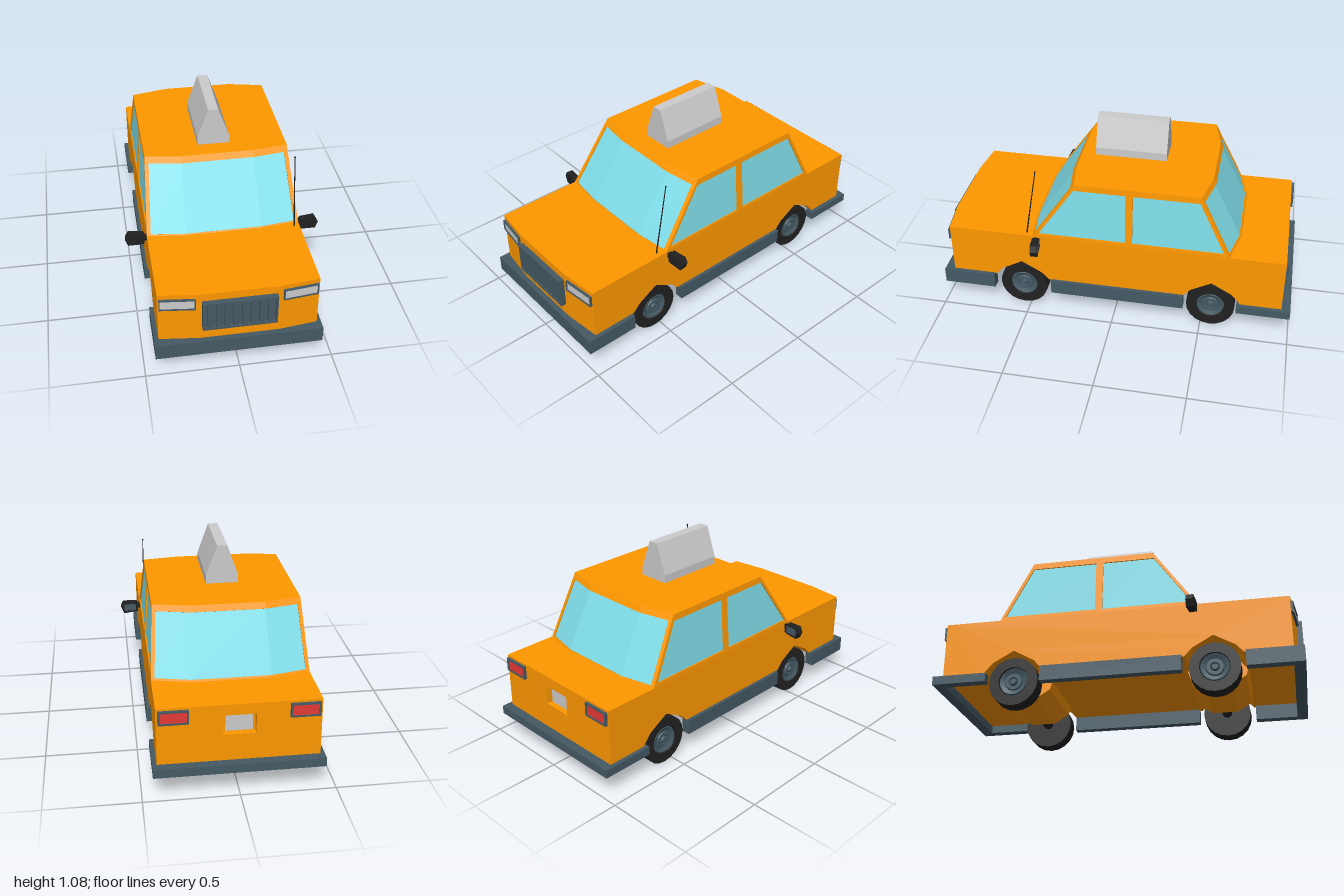
import * as THREE from 'three';

const mat = (color) => new THREE.MeshStandardMaterial({ color, flatShading: true });
const PAINT = mat(0xff9800), TRIM = mat(0x455a64), GLASS = mat(0x80deea);
const RUBBER = mat(0x212121), GREY = mat(0xcccccc), RED = mat(0xe53935);
const V = (x, y, z) => new THREE.Vector3(x, y, z);

export function createModel() {
  const car = new THREE.Group();
  car.name = 'taxi';

  function add(name, geometry, material, x = 0, y = 0, z = 0, parent = car) {
    const m = new THREE.Mesh(geometry, material);
    m.name = name;
    m.position.set(x, y, z);
    parent.add(m);
    return m;
  }
  // box given by its min and max on each axis
  const block = (name, material, x0, x1, y0, y1, z0, z1, parent) =>
    add(name, new THREE.BoxGeometry(x1 - x0, y1 - y0, z1 - z0), material,
      (x0 + x1) / 2, (y0 + y1) / 2, (z0 + z1) / 2, parent);
  const polygon = (pts) => new THREE.Shape(pts.map(([x, y]) => new THREE.Vector2(x, y)));
  const extrude = (shape, depth, steps = 1) =>
    new THREE.ExtrudeGeometry(shape, { depth, steps, bevelEnabled: false });
  // side profile of (z, y) points, extruded across the car
  const across = (pts, half, steps) =>
    extrude(polygon(pts), half * 2, steps).translate(0, 0, -half).rotateY(-Math.PI / 2);
  const rect = (w, h, y = 0) => [[-w / 2, y - h / 2], [w / 2, y - h / 2], [w / 2, y + h / 2], [-w / 2, y + h / 2]];
  // rectangular frame with a rectangular opening, extruded along +z
  function frame(w, h, holeW, holeH, depth, holeY = 0) {
    const s = polygon(rect(w, h));
    s.holes.push(polygon(rect(holeW, holeH, holeY)));
    return extrude(s, depth);
  }
  // flat-faced surface from corner quads, counter-clockwise from outside
  function surface(quads) {
    const p = quads.flatMap(([a, b, c, d]) => [a, b, c, a, c, d]);
    const g = new THREE.BufferGeometry().setFromPoints(p);
    g.computeVertexNormals();
    return g;
  }

  // Lower body: side profile with wheel arches, front face bowed outwards
  const FRONT_AXLE = .535, REAR_AXLE = -.553;
  const shift = (pts, c) => pts.map(([z, y]) => [c + z, y]);
  const arch = [[-.155, .2], [-.115, .245], [0, .31], [.115, .245], [.155, .2]];
  const profile = [[-.915, .18], [-.72, .18], ...shift(arch, REAR_AXLE), ...shift(arch, FRONT_AXLE),
    [.945, .2], [.945, .5], [-.915, .5]];
  const body = across(profile, .42, 4);
  const pos = body.attributes.position;
  for (let i = 0; i < pos.count; i++)
    if (pos.getZ(i) > .9 && Math.abs(pos.getX(i)) < .3) pos.setZ(i, .97);
  body.computeVertexNormals();
  add('lowerBody', body, PAINT);

  // Axle casings between the wheels, closing the arches on the inside
  const casing = [[-.165, .2], [-.15, .155], [-.07, .105], [.07, .105], [.15, .155], [.165, .2], [.1, .32], [-.1, .32]];
  for (const z of [FRONT_AXLE, REAR_AXLE]) add('axleCasing', across(shift(casing, z), .21, 1), PAINT);

  // Rear panel with the plate recess
  add('rearPanel', frame(.84, .32, .17, .11, .035, .045), PAINT, 0, .34, -.95);
  block('rearPlate', GREY, -.07, .07, .338, .43, -.925, -.91);

  // Cabin: framed window panels with recessed glass
  const xs = [-1, -.5, .5, 1];
  const row = (half, y, zSide, zMid) => xs.map((s) => V(s * half, y, Math.abs(s) === 1 ? zSide : zMid));
  const frontLow = row(.42, .5, .46, .487), frontTop = row(.395, .855, .217, .245);
  const rearLow = row(.42, .5, -.642, -.69), rearTop = row(.395, .855, -.47, -.515);

  function windowPanel(name, low, top, t0, t1, edge) {
    const n = low.length;
    const level = (t) => {
      const r = low.map((p, i) => p.clone().lerp(top[i], t));
      const dir = r[1].clone().sub(r[0]).setLength(edge);
      const dir2 = r[n - 2].clone().sub(r[n - 1]).setLength(edge);
      r[0].add(dir);
      r[n - 1].add(dir2);
      return r;
    };
    const a = level(t0), b = level(t1);
    const inward = low[n - 1].clone().sub(low[0]).cross(top[0].clone().sub(low[0])).setLength(-.007);
    const sink = (r) => r.map((p) => p.clone().add(inward));
    const ring = (l, t) => [...l, ...[...t].reverse()];
    const outer = ring(low, top), inner = ring(a, b), deep = ring(sink(a), sink(b));
    const band = (r, s) => r.map((p, i) => {
      const j = (i + 1) % r.length;
      return [p, r[j], s[j], s[i]];
    });
    add(name + 'Frame', surface([...band(outer, inner), ...band(inner, deep)]), PAINT);
    const gl = sink(a), gt = sink(b);
    add(name + 'Glass', surface(gl.slice(1).map((p, i) => [gl[i], p, gt[i + 1], gt[i]])), GLASS);
  }
  windowPanel('windscreen', frontLow, frontTop, .02, .91, .022);
  windowPanel('rearWindow', [...rearLow].reverse(), [...rearTop].reverse(), .03, .91, .02);
  for (const s of [1, -1]) {
    const side = s > 0 ? 'left' : 'right';
    const k = s > 0 ? 3 : 0;
    const midLow = V(s * .42, .5, -.085), midTop = V(s * .395, .855, -.085);
    const order = (r) => (s > 0 ? r : r.reverse());
    windowPanel(side + 'FrontWindow', order([frontLow[k], midLow]), order([frontTop[k], midTop]), .056, .9, .02);
    windowPanel(side + 'RearWindow', order([midLow, rearLow[k]]), order([midTop, rearTop[k]]), .056, .9, .02);
  }
  add('roof', surface([0, 1, 2].map((i) => [frontTop[i], frontTop[i + 1], rearTop[i + 1], rearTop[i]])), PAINT);

  // Bumpers wrapping round the corners, and sills, hanging below the floor
  block('frontBumper', TRIM, -.443, .443, .115, .203, .94, 1);
  block('rearBumper', TRIM, -.443, .443, .135, .183, -1, -.94);
  for (const s of [1, -1]) {
    const strip = (name, outer, y0, y1, z0, z1) =>
      block(name, TRIM, s > 0 ? .39 : -outer, s > 0 ? outer : -.39, y0, y1, z0, z1);
    strip('frontBumperSide', .443, .115, .203, .70, .94);
    strip('rearBumperSide', .443, .135, .183, -.94, -.70);
    strip('sill', .438, .118, .203, -.4, .365);
  }

  // Grille with vertical slats
  add('grilleFrame', frame(.39, .175, .37, .155, .035), TRIM, 0, .367, .965);
  block('grilleBack', TRIM, -.19, .19, .285, .45, .96, .98);
  for (let i = 0; i < 8; i++) {
    const x = -.1575 + i * .045;
    block('grilleSlat', TRIM, x - .013, x + .013, .287, .447, .975, .995);
  }

  // Head and tail lamps
  for (const s of [1, -1]) {
    const head = new THREE.Group();
    head.name = 'headlamp';
    head.position.set(s * .318, .442, .946);
    head.rotation.y = s * .115;
    add('headlampFrame', frame(.187, .064, .176, .054, .025), TRIM, 0, 0, 0, head);
    block('headlampLens', GREY, -.089, .089, -.028, .028, -.005, .018, head);
    car.add(head);
    add('tailLampFrame', frame(.155, .076, .135, .058, .016), TRIM, s * .333, .45, -.965);
    block('tailLampLens', RED, s * .333 - .068, s * .333 + .068, .42, .48, -.96, -.945);
  }

  // Wheels with dished hubs and axle stubs
  const lathe = (pts, sides) => new THREE.LatheGeometry(pts.map(([r, x]) => new THREE.Vector2(r, x)), sides)
    .rotateZ(-Math.PI / 2);
  const tyre = lathe([[0, -.045], [.137, -.045], [.137, .045], [.082, .045], [.078, .03]], 20);
  const hub = lathe([[.08, .034], [.074, .043], [.05, .032], [.045, .04], [.026, .04], [.022, .032], [.016, .046], [0, .046]], 20);
  const axle = new THREE.CylinderGeometry(.028, .028, .12, 10).rotateZ(Math.PI / 2);
  for (const s of [1, -1]) for (const z of [FRONT_AXLE, REAR_AXLE]) {
    const wheel = new THREE.Group();
    wheel.name = (z > 0 ? 'front' : 'rear') + 'Wheel';
    wheel.position.set(s * .36, .137, z);
    wheel.rotation.y = s > 0 ? 0 : Math.PI;
    add('tyre', tyre, RUBBER, 0, 0, 0, wheel);
    add('hub', hub, TRIM, 0, 0, 0, wheel);
    add('axle', axle, RUBBER, -.1, 0, 0, wheel);
    car.add(wheel);
  }

  // Door mirrors
  const housing = [[0, .447], [.012, .443], [.088, .436], [.104, .475], [.088, .507], [.008, .503], [0, .497]];
  for (const s of [1, -1]) {
    const mirror = new THREE.Group();
    mirror.name = 'doorMirror';
    mirror.position.set(s * .433, 0, .437);
    mirror.rotation.y = s > 0 ? .1 : Math.PI - .1;
    const shell = extrude(polygon(housing), .04).translate(0, 0, -.02);
    add('mirrorHousing', shell, RUBBER, 0, 0, 0, mirror);
    block('mirrorStalk', RUBBER, -.03, .01, .462, .492, -.012, .012, mirror);
    const back = s > 0 ? -.021 : .021;
    block('mirrorGlass', TRIM, .015, .085, .452, .494, back - .002, back + .002, mirror);
    car.add(mirror);
  }

  // Aerial
  const aerial = add('aerial', new THREE.CylinderGeometry(.0025, .004, .416, 6), RUBBER, .388, .705, .465);
  aerial.rotation.x = -Math.atan2(.07, .41);
  add('aerialTip', new THREE.SphereGeometry(.005, 8, 6), RUBBER, .388, .908, .43);

  // Roof sign
  const sign = polygon([[-.096, .865], [.082, .865], [.082, .91], [.02, 1.08], [-.036, 1.08], [-.096, .91]]);
  add('roofSign', extrude(sign, .4), GREY, 0, 0, -.24);

  return car;
}
